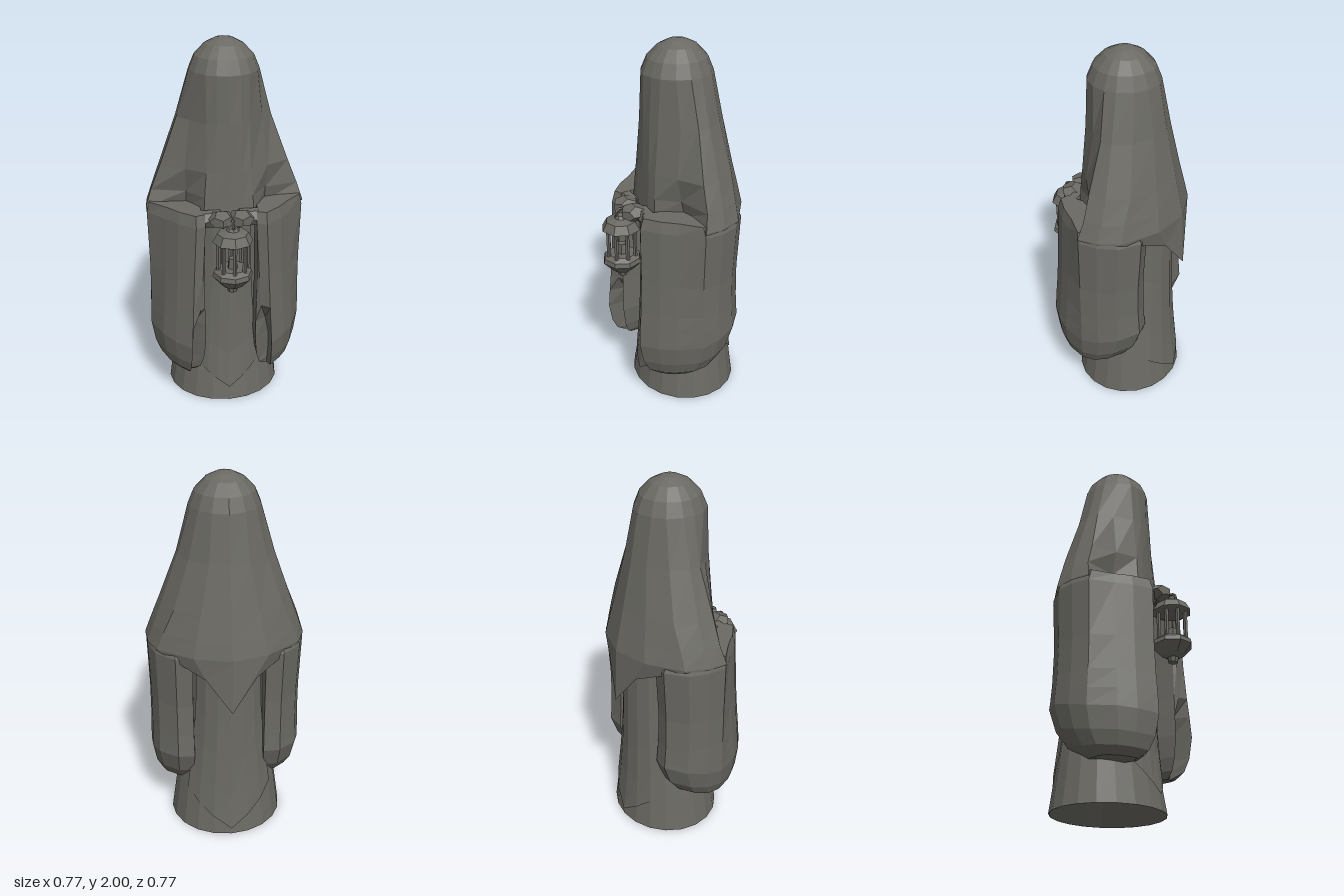
import * as THREE from 'three';

const material = new THREE.MeshStandardMaterial({ color: 0x6a6963, flatShading: true, side: THREE.DoubleSide });

function addMesh(parent, name, geometry) {
  const g = geometry.index ? geometry.toNonIndexed() : geometry;
  g.computeVertexNormals();
  const mesh = new THREE.Mesh(g, material);
  mesh.name = name;
  parent.add(mesh);
  return mesh;
}

// Skin between rings of [x, y, z]; rings run bottom to top, counterclockwise from above
function loft(rings, { closed = true, capBottom = false, capTop = false } = {}) {
  const n = rings[0].length, pos = rings.flat(2), index = [];
  for (let i = 0; i < rings.length - 1; i++) {
    for (let j = 0; j < (closed ? n : n - 1); j++) {
      const k = (j + 1) % n, a = i * n, b = a + n;
      index.push(a + j, a + k, b + k, a + j, b + k, b + j);
    }
  }
  const cap = (ring, start, up) => {
    const c = pos.length / 3;
    for (let d = 0; d < 3; d++) pos.push(ring.reduce((s, p) => s + p[d], 0) / n);
    for (let j = 0; j < n; j++) {
      const k = (j + 1) % n;
      if (up) index.push(start + j, start + k, c);
      else index.push(start + k, start + j, c);
    }
  };
  if (capBottom) cap(rings[0], 0, false);
  if (capTop) cap(rings[rings.length - 1], (rings.length - 1) * n, true);
  const g = new THREE.BufferGeometry();
  g.setAttribute('position', new THREE.Float32BufferAttribute(pos, 3));
  g.setIndex(index);
  return g;
}

// Complete a half section (front to back on the left side) by mirroring it
const mirrorRing = half => [...half, ...half.slice(1, -1).reverse().map(([x, y, z]) => [-x, y, z])];

// Half width, front and back extent of the robe at a height
const robeRows = [[0, 0.315, 0.232, -0.345], [0.22, 0.285, 0.195, -0.315], [0.5, 0.24, 0.185, -0.295],
  [0.8, 0.21, 0.18, -0.285], [1.2, 0.2, 0.17, -0.27]];
function robePoint(y, angle, scale = 1) {
  let i = 0;
  while (i < robeRows.length - 2 && y > robeRows[i + 1][0]) i++;
  const a = robeRows[i], b = robeRows[i + 1], t = (y - a[0]) / (b[0] - a[0]);
  const [w, f, r] = [1, 2, 3].map(d => a[d] + (b[d] - a[d]) * t);
  const mid = (f + r) / 2, depth = (f - r) / 2;
  return [Math.sin(angle) * w * scale, y, mid + Math.cos(angle) * depth * scale];
}

// Robe with a hollow foot
function addRobe(parent) {
  const n = 20;
  const ring = (y, s) => Array.from({ length: n }, (_, j) => robePoint(y, (j / n) * Math.PI * 2, s));
  const rings = [ring(0.14, 0.65), ring(0, 0.99), ...robeRows.map(r => ring(r[0], 1))];
  addMesh(parent, 'robe', loft(rings, { capBottom: true, capTop: true }));
}

// Pointed cloth panel lying on the robe
function addPanel(parent, name, facing, spread, top, tip, side) {
  const cols = 6, rows = 5, rings = [];
  for (let i = 0; i <= rows; i++) {
    const row = [];
    for (let j = 0; j <= cols; j++) {
      const t = (j / cols) * 2 - 1;
      const low = tip + (side - tip) * Math.abs(t);
      const y = low + (top - low) * (i / rows);
      row.push(robePoint(y, facing + t * spread, 1.035 - 0.015 * Math.abs(t)));
    }
    rings.push(row);
  }
  addMesh(parent, name, loft(rings, { closed: false }));
}

// Hood flowing into a shoulder cape: half sections as [x, z] from front to back
function addHood(parent) {
  const sections = [
    [1.13, [[0, 0.19], [0.075, 0.19], [0.13, 0.18], [0.21, 0.045], [0.42, 0.035], [0.412, -0.07], [0.365, -0.18], [0.19, -0.305], [0, -0.355]]],
    [1.22, [[0, 0.185], [0.07, 0.185], [0.125, 0.175], [0.21, 0.065], [0.39, 0.015], [0.38, -0.08], [0.332, -0.18], [0.172, -0.29], [0, -0.335]]],
    [1.35, [[0, 0.18], [0.065, 0.178], [0.115, 0.165], [0.215, 0.09], [0.338, 0.01], [0.333, -0.08], [0.275, -0.185], [0.148, -0.265], [0, -0.305]]],
    [1.6, [[0, 0.175], [0.06, 0.168], [0.108, 0.143], [0.188, 0.06], [0.245, -0.01], [0.245, -0.07], [0.195, -0.155], [0.1, -0.225], [0, -0.25]]],
    [1.84, [[0, 0.17], [0.06, 0.155], [0.11, 0.13], [0.158, 0.07], [0.18, 0], [0.175, -0.06], [0.14, -0.135], [0.08, -0.18], [0, -0.205]]],
  ];
  const rings = sections.map(([y, half]) => mirrorRing(half.map(([x, z]) => [x, y, z])));
  // Cape hem dropping to a point behind
  const drop = [0, 0, 0, 0, 0.01, 0.01, 0.01, 0.12, 0.3];
  rings.unshift(mirrorRing(sections[0][1].map(([x, z], i) =>
    [i === 7 ? 0.13 : x, 1.13 - drop[i], z - (i > 6 ? 0.015 : 0)])));
  // Rounded crown
  for (const [y, s] of [[1.91, 0.84], [1.965, 0.55], [1.992, 0.25], [2, 0.001]]) {
    rings.push(mirrorRing(sections[4][1].map(([x, z]) => [x * s, y, -0.02 + (z + 0.02) * s])));
  }
  addMesh(parent, 'hoodAndCape', loft(rings));
}

// Long hanging sleeve, flaring downward, with an open slit at its lower front edge
function addSleeve(parent, name, sign) {
  const plan = [[0.135, 0.26], [0.165, 0.297], [0.215, 0.318], [0.3, 0.245], [0.36, 0.17], [0.417, 0.035],
    [0.412, -0.065], [0.377, -0.165], [0.28, -0.25], [0.19, -0.24], [0.17, 0], [0.14, 0.14]];
  const centre = [0.24, 0.13];
  const rows = [[0.2, 0.45, 0.02], [0.235, 0.72, 0.06], [0.3, 0.89, 0.1], [0.41, 1, 0.11], [0.52, 0.99, 0.07],
    [0.62, 0.97, 0.01], [0.8, 0.96, 0], [1.1, 1, 0], [1.16, 0.92, 0]];
  const rings = rows.map(([y, s, notch]) => {
    const lean = Math.max(0, y - 0.4) * 0.048; // outer front wall leans in toward the top
    const ring = plan.map(([x, z], i) => {
      const inset = i > 0 && i < 5 ? lean : 0;
      const px = centre[0] + (x - centre[0]) * s + (i === 1 ? notch * 0.5 : 0) - inset;
      const pz = centre[1] + (z - centre[1]) * s - (i === 1 ? notch : 0) - inset;
      const lift = y < 0.5 ? Math.max(0, -pz) * 0.3 + Math.max(0, px - 0.22) * 0.12 : 0;
      return [sign * px, y + lift, pz];
    });
    return sign > 0 ? ring : ring.reverse();
  });
  addMesh(parent, name, loft(rings, { capBottom: true, capTop: true }));
}

// Hands meeting between the sleeves
function addHands(parent) {
  for (const sign of [1, -1]) {
    const side = sign > 0 ? 'left' : 'right';
    const hand = addMesh(parent, side + 'Hand', new THREE.DodecahedronGeometry(1, 0));
    hand.scale.set(0.07, 0.045, 0.07);
    hand.position.set(sign * 0.05, 1.135, 0.26);
    const wrist = addMesh(parent, side + 'Wrist', new THREE.CylinderGeometry(0.045, 0.045, 0.12, 6));
    wrist.rotation.z = Math.PI / 2;
    wrist.position.set(sign * 0.11, 1.12, 0.215);
  }
}

function addLantern(parent) {
  const lantern = new THREE.Group();
  lantern.name = 'lantern';
  lantern.position.z = 0.312;
  const lathe = (name, pts) => addMesh(lantern, name,
    new THREE.LatheGeometry(pts.map(([x, y]) => new THREE.Vector2(x, y)), 8));
  lathe('lanternBase', [[0, 0.745], [0.025, 0.75], [0.03, 0.775], [0.06, 0.79], [0.105, 0.84], [0.1, 0.865], [0.075, 0.885], [0, 0.885]]);
  lathe('lanternRoof', [[0, 1.02], [0.075, 1.02], [0.105, 1.035], [0.08, 1.08], [0.035, 1.095], [0.025, 1.11], [0, 1.115]]);
  addMesh(lantern, 'candle', new THREE.CylinderGeometry(0.022, 0.028, 0.06, 6)).position.y = 0.91;
  for (let i = 0; i < 8; i++) {
    const a = (i / 8) * Math.PI * 2;
    addMesh(lantern, 'lanternBar', new THREE.CylinderGeometry(0.011, 0.011, 0.16, 5))
      .position.set(Math.sin(a) * 0.075, 0.955, Math.cos(a) * 0.075);
  }
  const ring = addMesh(lantern, 'lanternRing', new THREE.TorusGeometry(0.025, 0.008, 5, 10));
  ring.position.y = 1.12;
  ring.rotation.y = Math.PI / 2;
  parent.add(lantern);
}

export function createModel() {
  const model = new THREE.Group();
  model.name = 'hoodedFigure';
  const figure = new THREE.Group();
  figure.name = 'figure';
  figure.rotation.y = Math.PI / 4; // faces the front-left corner
  model.add(figure);

  addRobe(figure);
  addPanel(figure, 'frontPanel', 0, 0.62, 1.1, 0.08, 0.22);
  addPanel(figure, 'backPanel', Math.PI, 0.95, 1.1, 0.04, 0.26);
  addHood(figure);
  addSleeve(figure, 'leftSleeve', 1);
  addSleeve(figure, 'rightSleeve', -1);
  addHands(figure);
  addLantern(figure);
  return model;
}
